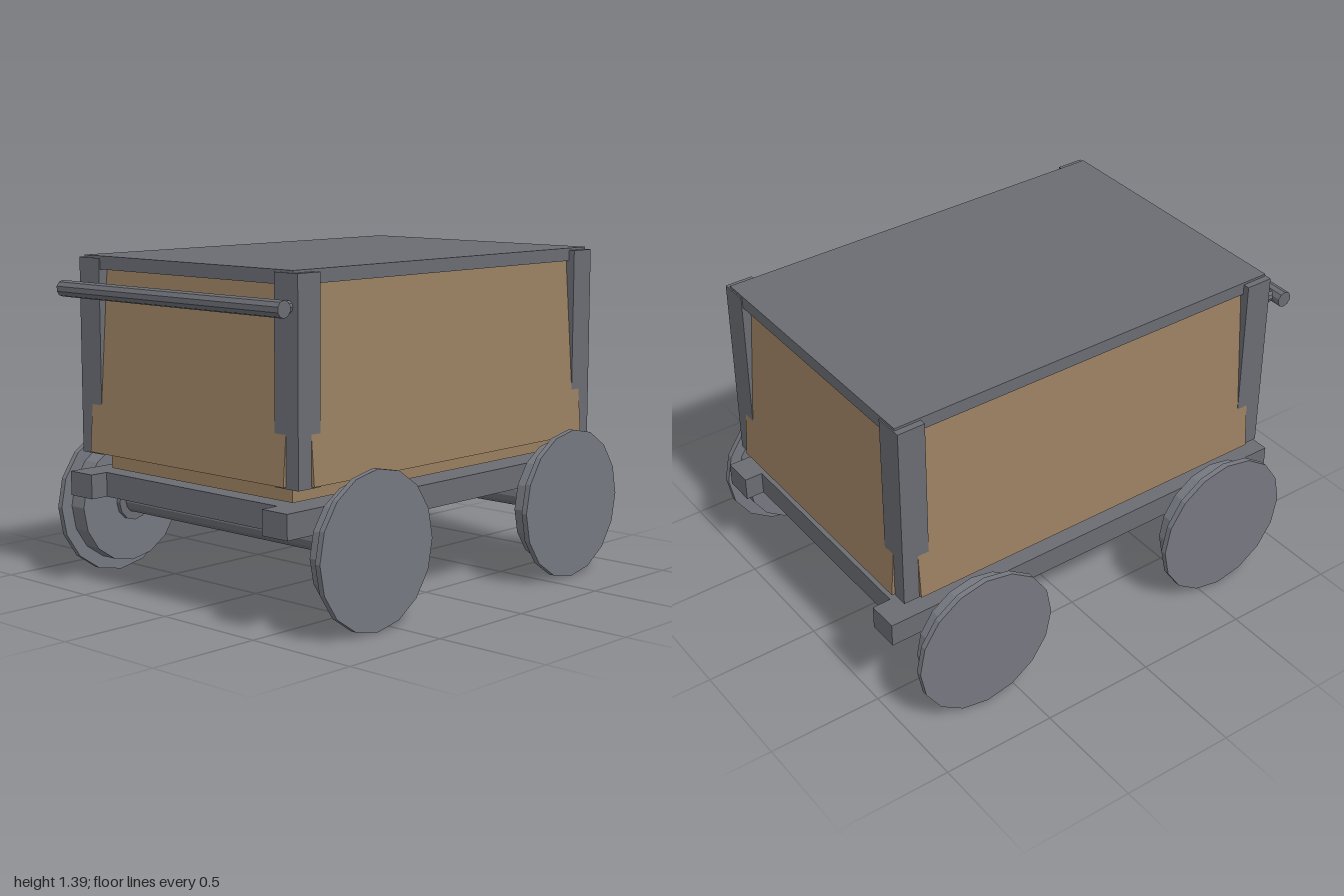
import * as THREE from 'three';

const mat = (color) => new THREE.MeshStandardMaterial({ color, flatShading: true });

export function createModel() {
  const model = new THREE.Group();
  const metal = mat(0x6a6c73);
  const wheelMetal = mat(0x767880);
  const wood = mat(0x997f60);
  const CX = 0.025; // middle of the body and chassis

  const add = (name, geometry, material, parent = model) => {
    const mesh = new THREE.Mesh(geometry, material);
    mesh.name = name;
    parent.add(mesh);
    return mesh;
  };

  // Box given by its extents on each axis
  const box = (name, x0, x1, y0, y1, z0, z1, material) => {
    const geometry = new THREE.BoxGeometry(x1 - x0, y1 - y0, z1 - z0);
    geometry.translate((x0 + x1) / 2, (y0 + y1) / 2, (z0 + z1) / 2);
    return add(name, geometry, material);
  };

  // Wooden block that narrows towards the top
  const taperedBlock = (name, halfX, halfZ, topX, topZ) => {
    const y0 = 0.58, y1 = 1.35;
    const geometry = new THREE.BoxGeometry(2, y1 - y0, 2);
    const p = geometry.attributes.position;
    for (let i = 0; i < p.count; i++) {
      const top = p.getY(i) > 0;
      p.setX(i, p.getX(i) * (top ? topX : halfX));
      p.setZ(i, p.getZ(i) * (top ? topZ : halfZ));
    }
    geometry.translate(CX, (y0 + y1) / 2, 0);
    geometry.computeVertexNormals();
    add(name, geometry, wood);
  };

  // Crate body: two crossing blocks form the leaning front/back and end panels
  taperedBlock('frontAndBackPanels', 0.84, 0.645, 0.84, 0.587);
  taperedBlock('endPanels', 0.925, 0.565, 0.867, 0.565);
  box('floor', -0.815, 0.865, 0.505, 0.58, -0.53, 0.53, wood);
  box('lid', -0.88, 0.93, 1.34, 1.395, -0.602, 0.602, metal);

  // Corner posts
  for (const sx of [-1, 1]) {
    for (const sz of [-1, 1]) {
      const x = CX + sx * 0.85, z = sz * 0.568;
      box('cornerPost', x - 0.06, x + 0.06, 0.573, 1.385, z - 0.062, z + 0.062, metal);
    }
  }

  // Chassis: two long rails and three cross beams
  for (const sz of [-1, 1]) {
    const z = sz * 0.568;
    box('chassisRail', -0.95, 1, 0.395, 0.497, z - 0.067, z + 0.067, metal);
  }
  for (const x of [CX - 0.83, CX, CX + 0.83]) {
    box('crossBeam', x - 0.065, x + 0.065, 0.395, 0.497, -0.51, 0.51, metal);
  }

  // Cylinder along z between two depths
  const disc = (name, radius, z0, z1, sides, material, parent) => {
    const geometry = new THREE.CylinderGeometry(radius, radius, Math.abs(z1 - z0), sides);
    geometry.rotateX(Math.PI / 2);
    geometry.translate(0, 0, (z0 + z1) / 2);
    return add(name, geometry, material, parent);
  };

  // Wheel sets: axle with collar, tread and flange at each end
  for (const x of [-0.597, 0.643]) {
    const wheelSet = new THREE.Group();
    wheelSet.name = 'wheelSet';
    wheelSet.position.set(x, 0.319, 0);
    model.add(wheelSet);
    disc('axle', 0.05, -0.67, 0.67, 12, metal, wheelSet);
    for (const s of [-1, 1]) {
      disc('axleCollar', 0.085, s * 0.645, s * 0.67, 12, metal, wheelSet);
      disc('wheelTread', 0.265, s * 0.665, s * 0.75, 16, wheelMetal, wheelSet);
      disc('wheelFlange', 0.319, s * 0.745, s * 0.77, 16, wheelMetal, wheelSet);
    }
  }

  // Push handle with two short stems
  disc('handleBar', 0.034, -0.64, 0.64, 10, metal, model).position.set(-0.966, 1.26, 0);
  for (const sz of [-1, 1]) {
    const stem = new THREE.CylinderGeometry(0.025, 0.025, 0.1, 10);
    stem.rotateZ(Math.PI / 2);
    add('handleStem', stem, metal).position.set(-0.915, 1.26, sz * 0.58);
  }

  return model;
}
